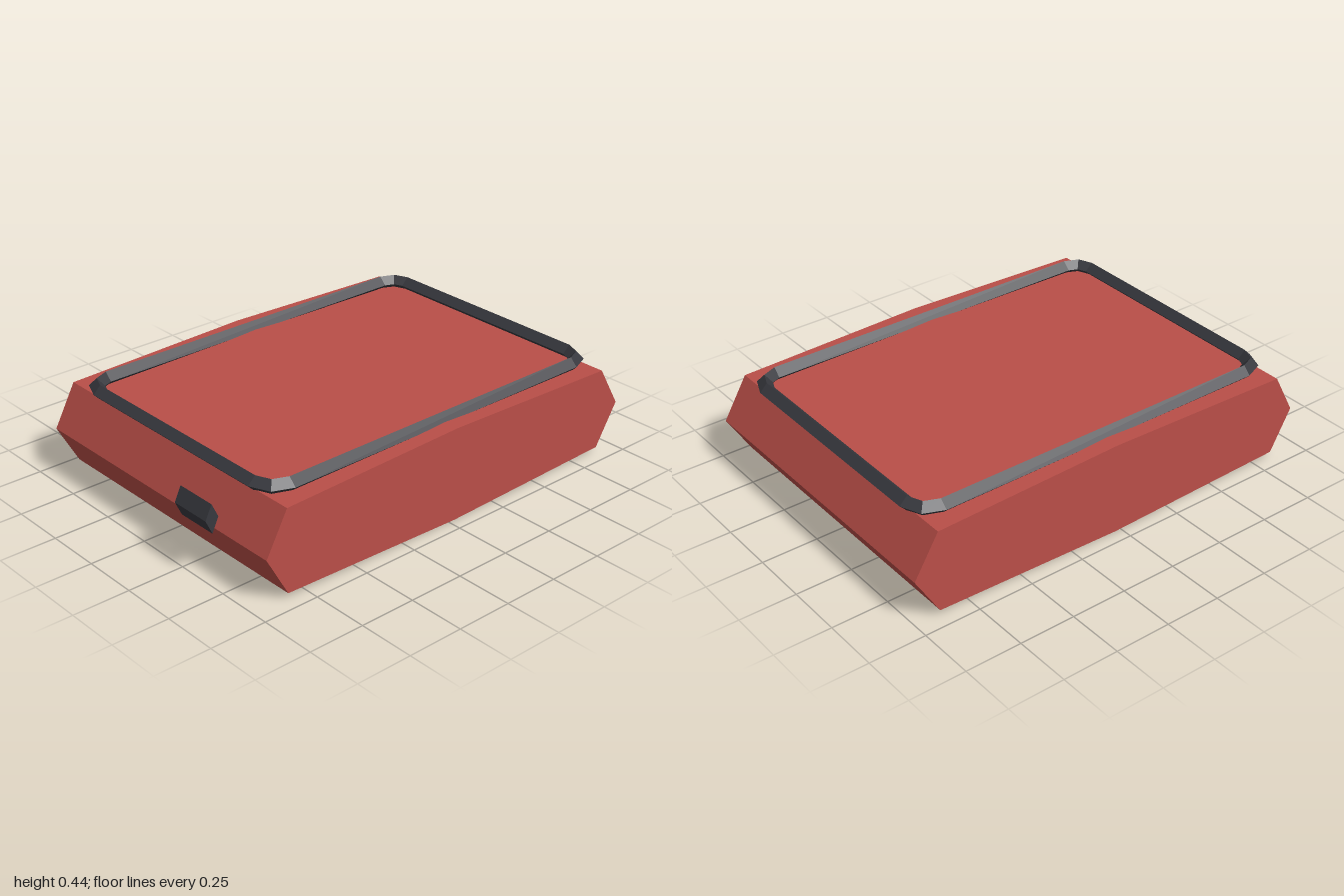
import * as THREE from 'three';

const red = new THREE.MeshStandardMaterial({ color: 0xb94e48 });
red.name = 'red shell';
const dark = new THREE.MeshStandardMaterial({ color: 0x37383e });
dark.name = 'dark trim';

// Extrude a (z, y) side profile across x, from x0 to x1
function sideExtrusion(name, profile, x0, x1, material) {
  const shape = new THREE.Shape(profile.map(([z, y]) => new THREE.Vector2(-z, y)));
  const geometry = new THREE.ExtrudeGeometry(shape, { depth: x1 - x0, bevelEnabled: false });
  geometry.rotateY(Math.PI / 2).translate(x0, 0, 0);
  const mesh = new THREE.Mesh(geometry, material);
  mesh.name = name;
  return mesh;
}

// Rounded rectangular ring with a diamond cross-section
function diamondRing(halfX, halfZ, corner, radius, steps) {
  const rings = [];
  for (let c = 0; c < 4; c++) {
    for (let s = 0; s <= steps; s++) {
      const a = (c + s / steps) * Math.PI / 2;
      const sx = c === 0 || c === 3 ? 1 : -1;
      const sz = c < 2 ? 1 : -1;
      rings.push([[radius, 0], [0, radius], [-radius, 0], [0, -radius]].map(([out, up]) => [
        sx * (halfX - corner) + (corner + out) * Math.cos(a),
        up,
        sz * (halfZ - corner) + (corner + out) * Math.sin(a),
      ]));
    }
  }
  const positions = [];
  rings.forEach((ring, i) => {
    const next = rings[(i + 1) % rings.length];
    for (let j = 0; j < 4; j++) {
      const k = (j + 1) % 4;
      positions.push(...ring[j], ...ring[k], ...next[j], ...next[j], ...ring[k], ...next[k]);
    }
  });
  const geometry = new THREE.BufferGeometry();
  geometry.setAttribute('position', new THREE.Float32BufferAttribute(positions, 3));
  geometry.computeVertexNormals();
  return geometry;
}

export function createModel() {
  const model = new THREE.Group();
  model.name = 'flatCase';

  // Slab with wedge-shaped ends and gently crowned top and bottom
  model.add(sideExtrusion('body', [
    [0.94, 0.208], [0.84, 0.391], [-0.03, 0.415], [-0.89, 0.391],
    [-1, 0.208], [-0.89, 0.026], [-0.03, 0], [0.84, 0.026],
  ], -0.69, 0.69, red));

  // Raised rim on the top face
  const rim = new THREE.Mesh(diamondRing(0.59, 0.863, 0.09, 0.034, 2), dark);
  rim.name = 'topRim';
  rim.position.set(0, 0.411, -0.03);
  model.add(rim);

  // Latch in front of the nose
  model.add(sideExtrusion('frontLatch', [
    [1, 0.272], [0.97, 0.335], [0.94, 0.272], [0.97, 0.208],
  ], 0.22, 0.41, dark));

  return model;
}
